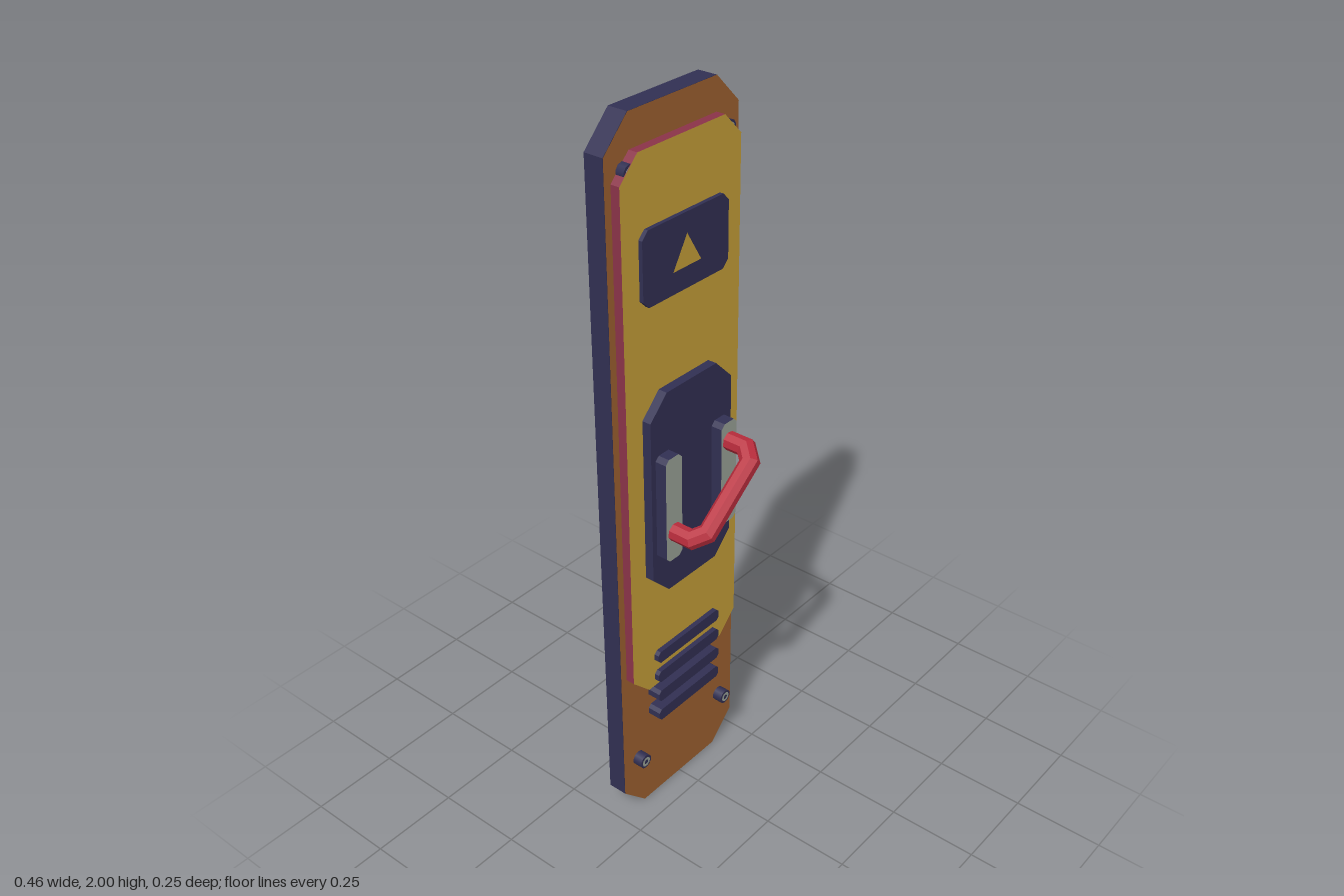
import * as THREE from 'three';

const mat = (name, color) => {
  const m = new THREE.MeshStandardMaterial({ color });
  m.name = name;
  return m;
};

// Rectangle with cut corners
function cutRect(x0, x1, y0, y1, c) {
  return new THREE.Shape([
    [x0 + c, y0], [x1 - c, y0], [x1, y0 + c], [x1, y1 - c],
    [x1 - c, y1], [x0 + c, y1], [x0, y1 - c], [x0, y0 + c],
  ].map(([x, y]) => new THREE.Vector2(x, y)));
}

// Slab from z0 to z1; an array of materials gives [faces, sides]
function slab(name, shape, z0, z1, material) {
  const geo = new THREE.ExtrudeGeometry(shape, { depth: z1 - z0, bevelEnabled: false });
  geo.translate(0, 0, z0);
  const mesh = new THREE.Mesh(geo, material);
  mesh.name = name;
  return mesh;
}

function face(name, shape, z, material) {
  const mesh = new THREE.Mesh(new THREE.ShapeGeometry(shape), material);
  mesh.position.z = z;
  mesh.name = name;
  return mesh;
}

// Faceted bar along a bent path in the (x, z) plane, with mitred corners
function bentBar(path, radius, sides) {
  const pos = [], index = [];
  path.forEach((p, i) => {
    const a = p.clone().sub(path[Math.max(i - 1, 0)]).normalize();
    const b = path[Math.min(i + 1, path.length - 1)].clone().sub(p).normalize();
    const t = a.clone().add(b).normalize();
    const stretch = 1 / t.dot(a.length() ? a : b);
    for (let k = 0; k < sides; k++) {
      const q = (k + 0.5) / sides * Math.PI * 2;
      const s = Math.cos(q) * radius * stretch;
      pos.push(p.x - t.y * s, Math.sin(q) * radius, p.y + t.x * s);
      if (i) {
        const n = (k + 1) % sides, u = (i - 1) * sides, v = i * sides;
        index.push(u + k, v + k, u + n, u + n, v + k, v + n);
      }
    }
  });
  const geo = new THREE.BufferGeometry();
  geo.setAttribute('position', new THREE.Float32BufferAttribute(pos, 3));
  geo.setIndex(index);
  const flat = geo.toNonIndexed();
  flat.computeVertexNormals();
  return flat;
}

export function createModel() {
  const navy = mat('navy', 0x312f52);
  const brown = mat('brown', 0x9c6030);
  const yellow = mat('yellow', 0xc59e38);
  const maroon = mat('maroon', 0x8a3348);
  const red = mat('red', 0xb82c3c);
  red.side = THREE.DoubleSide;
  const grey = mat('grey', 0x98a096);
  const group = new THREE.Group();

  // Backing board with a painted front
  const board = cutRect(-0.231, 0.231, 0, 2, 0.08);
  group.add(slab('backBoard', board, -0.125, -0.071, navy));
  group.add(face('boardFront', board, -0.07, brown));

  // Main panel and its two raised plates
  group.add(slab('mainPanel', cutRect(-0.21, 0.21, 0.415, 1.915, 0.06), -0.07, -0.045, [yellow, maroon]));
  group.add(slab('signPlate', cutRect(-0.153, 0.153, 1.543, 1.733, 0.02), -0.045, -0.034, navy));
  group.add(slab('handlePlate', cutRect(-0.153, 0.153, 0.73, 1.31, 0.06), -0.045, -0.02, navy));

  // Triangle sign
  const triangle = new THREE.Shape([
    new THREE.Vector2(-0.05, 1.6), new THREE.Vector2(0.05, 1.6), new THREE.Vector2(0, 1.682),
  ]);
  group.add(face('triangleSign', triangle, -0.0325, yellow));

  // Handle rails
  for (const s of [-1, 1]) {
    const rail = cutRect(s * 0.107 - 0.03, s * 0.107 + 0.03, 0.85, 1.15, 0.012);
    group.add(slab(s > 0 ? 'leftRail' : 'rightRail', rail, -0.02, 0.012, [grey, navy]));
  }

  // Slanted pull handle
  const path = [[-0.134, 0], [-0.134, 0.067], [-0.104, 0.097], [0.104, 0.097], [0.134, 0.067], [0.134, 0]]
    .map(([x, z]) => new THREE.Vector2(x, z));
  const handle = new THREE.Mesh(bentBar(path, 0.025, 8), red);
  handle.name = 'handle';
  handle.position.y = 1.014;
  handle.rotation.z = Math.atan2(0.164, 0.214);
  group.add(handle);

  // Vent bars
  for (let i = 0; i < 4; i++) {
    const y = 0.512 - i * 0.0665;
    group.add(slab('ventBar' + (i + 1), cutRect(-0.126, 0.126, y - 0.018, y + 0.018, 0.009), -0.07, -0.031, navy));
  }

  // Corner screws: head, ring and socket
  for (const x of [-0.173, 0.173]) {
    for (const y of [0.175, 1.875]) {
      const screw = new THREE.Group();
      screw.name = 'screw';
      const top = y > 1 ? -0.047 : -0.042;
      const head = new THREE.Mesh(new THREE.CylinderGeometry(0.021, 0.021, top + 0.071, 10), navy);
      head.name = 'screwHead';
      head.rotation.x = Math.PI / 2;
      head.position.z = (top - 0.071) / 2;
      const ring = new THREE.Mesh(new THREE.RingGeometry(0.007, 0.015, 10), grey);
      ring.name = 'screwRing';
      ring.position.z = top + 0.001;
      screw.add(head, ring);
      screw.position.set(x, y, 0);
      group.add(screw);
    }
  }
  return group;
}
